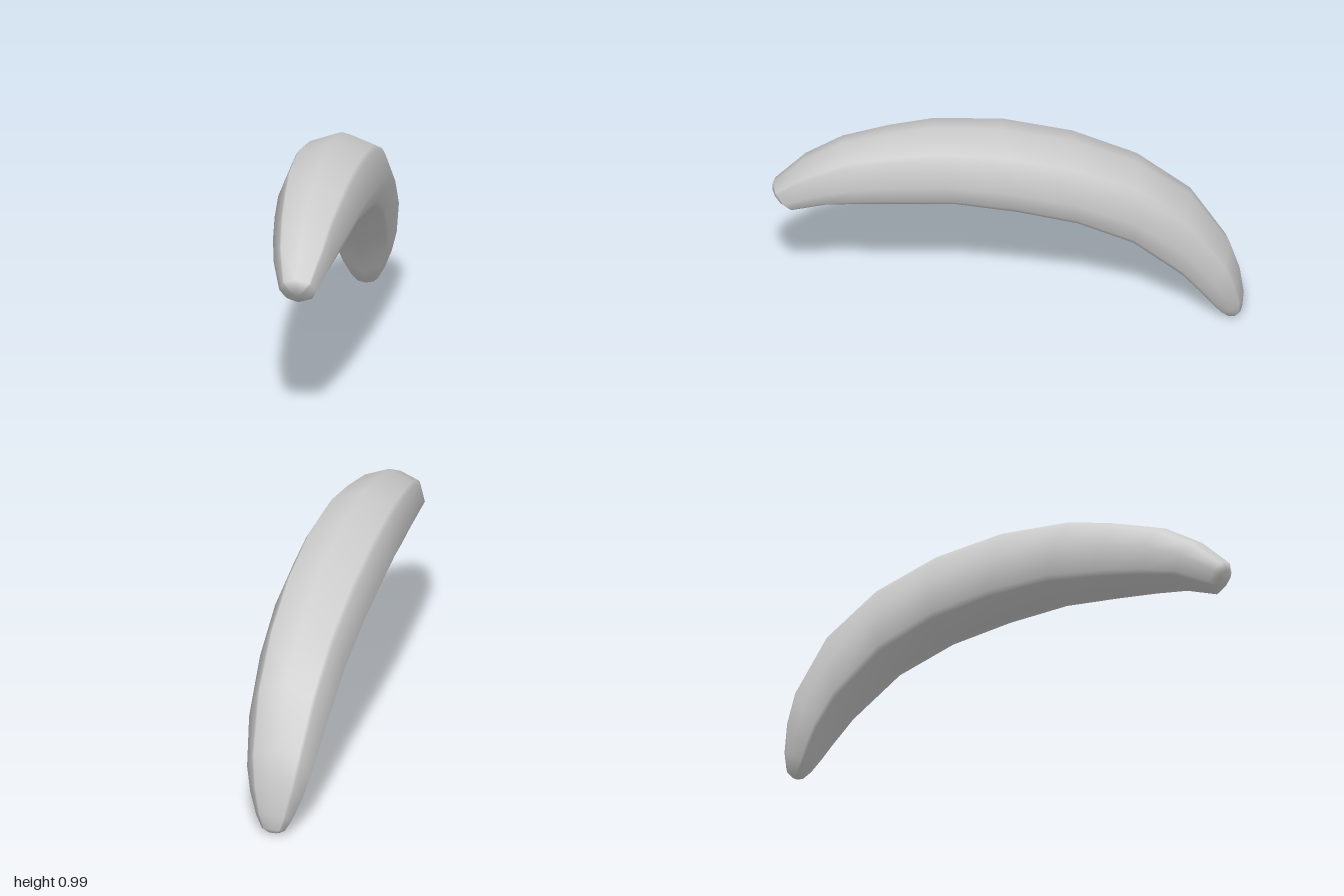
import * as THREE from 'three';

// Rings from front tip to back tip: [top z, top y, bottom z, bottom y, half width]
const RINGS = [
  [0.998, 0.67, 0.93, 0.582, 0.045],
  [0.995, 0.705, 0.905, 0.578, 0.08],
  [0.87, 0.82, 0.76, 0.62, 0.125],
  [0.71, 0.91, 0.62, 0.625, 0.15],
  [0.51, 0.96, 0.45, 0.63, 0.172],
  [0.33, 0.99, 0.2, 0.633, 0.19],
  [0.03, 0.983, -0.05, 0.593, 0.202],
  [-0.27, 0.92, -0.3, 0.53, 0.2],
  [-0.55, 0.805, -0.53, 0.42, 0.188],
  [-0.78, 0.63, -0.73, 0.24, 0.17],
  [-0.94, 0.38, -0.81, 0.14, 0.142],
  [-0.983, 0.24, -0.85, 0.085, 0.115],
  [-1.0, 0.11, -0.89, 0.035, 0.08],
  [-0.993, 0.035, -0.925, 0.006, 0.05],
  [-0.975, 0.012, -0.94, 0.001, 0.025],
];

// Cross-section, clockwise from the top: [fraction of half width, fraction of height]
const HALF = [[0.69, 0.87], [0.76, 0.81], [1, 0.5], [0.76, 0.2], [0.69, 0.14]];
const SECTION = [
  [0, 1], ...HALF, [0, 0],
  ...HALF.map(([x, h]) => [-x, h]).reverse(),
];

function bodyGeometry() {
  const positions = [];
  const index = [];
  const n = SECTION.length;
  const lerp = THREE.MathUtils.lerp;

  for (const [tz, ty, bz, by, w] of RINGS) {
    for (const [x, h] of SECTION) {
      positions.push(x * w, lerp(by, ty, h), lerp(bz, tz, h));
    }
  }

  // Skin between neighbouring rings
  for (let j = 0; j < RINGS.length - 1; j++) {
    for (let i = 0; i < n; i++) {
      const a = j * n + i, b = j * n + (i + 1) % n;
      index.push(a, b, a + n, b, b + n, a + n);
    }
  }

  // Rounded caps closing both tips
  const front = positions.length / 3;
  positions.push(0, 0.622, 0.972);
  positions.push(0, 0.003, -0.958);
  const last = (RINGS.length - 1) * n;
  for (let i = 0; i < n; i++) {
    const k = (i + 1) % n;
    index.push(front, k, i);
    index.push(front + 1, last + i, last + k);
  }

  const geometry = new THREE.BufferGeometry();
  geometry.setAttribute('position', new THREE.Float32BufferAttribute(positions, 3));
  geometry.setIndex(index);
  geometry.computeVertexNormals();
  return geometry;
}

export function createModel() {
  const group = new THREE.Group();
  group.name = 'banana';
  const grey = new THREE.MeshStandardMaterial({ color: 0xcccccc });
  grey.name = 'light grey';
  const body = new THREE.Mesh(bodyGeometry(), grey);
  body.name = 'bananaBody';
  group.add(body);
  return group;
}
